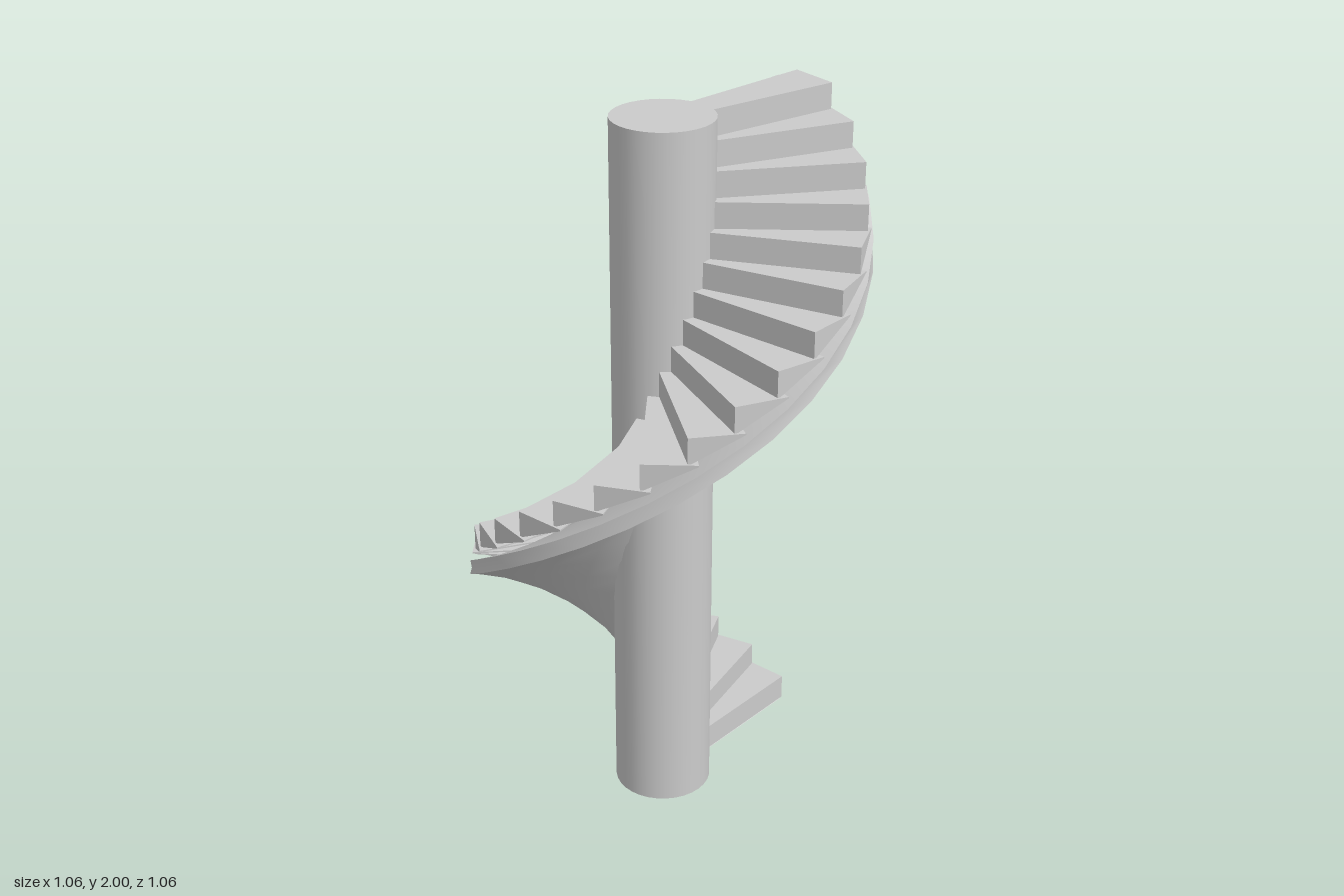
import * as THREE from 'three';

const STEPS = 28;
const RISE = 0.0704;                 // height gained per step
const TURN = (Math.PI * 2) / STEPS;  // angle gained per step
const material = new THREE.MeshStandardMaterial({ color: 0xcccccc, side: THREE.DoubleSide });

// Move every vertex of a geometry by a rule
function reshape(geometry, rule) {
  const pos = geometry.attributes.position;
  const v = new THREE.Vector3();
  for (let i = 0; i < pos.count; i++) {
    rule(v.fromBufferAttribute(pos, i));
    pos.setXYZ(i, v.x, v.y, v.z);
  }
  geometry.computeVertexNormals();
  return geometry;
}

// Wedge under a flat tread: full-height riser in front, thin edge behind
function stepGeometry() {
  return reshape(new THREE.BoxGeometry(1, 1, 1), (v) => {
    const back = v.z < 0;
    const bottom = v.y < 0;
    v.x = v.x < 0 ? 0.1 : 0.514;
    v.z = back ? -0.033 - 0.144 * v.x : 0.036;
    v.y = bottom ? (back ? -0.004 : -0.075) : 0;
  });
}

// Bar twisted once around the column while it rises
function rampGeometry() {
  const height = STEPS * RISE;
  const axis = new THREE.Vector3(0, 1, 0);
  const bar = new THREE.BoxGeometry(0.43, height, 0.074, 4, STEPS, 1);
  bar.translate(0.316, height / 2, -0.02);
  return reshape(bar, (v) => v.applyAxisAngle(axis, (v.y / RISE) * TURN));
}

export function createModel() {
  const model = new THREE.Group();
  model.name = 'spiralStaircase';

  // Central column
  const column = new THREE.Mesh(new THREE.CylinderGeometry(0.136, 0.136, 1.985, 32), material);
  column.name = 'column';
  column.position.set(-0.003, 1.0075, 0);
  model.add(column);

  // Spiral ramp carrying the steps
  const ramp = new THREE.Mesh(rampGeometry(), material);
  ramp.name = 'ramp';
  model.add(ramp);

  // Steps
  const steps = new THREE.Group();
  steps.name = 'steps';
  const geometry = stepGeometry();
  for (let i = 0; i < STEPS; i++) {
    const step = new THREE.Mesh(geometry, material);
    step.name = `step${i + 1}`;
    step.position.y = 0.099 + i * RISE;
    step.rotation.y = i * TURN;
    steps.add(step);
  }
  model.add(steps);

  return model;
}
